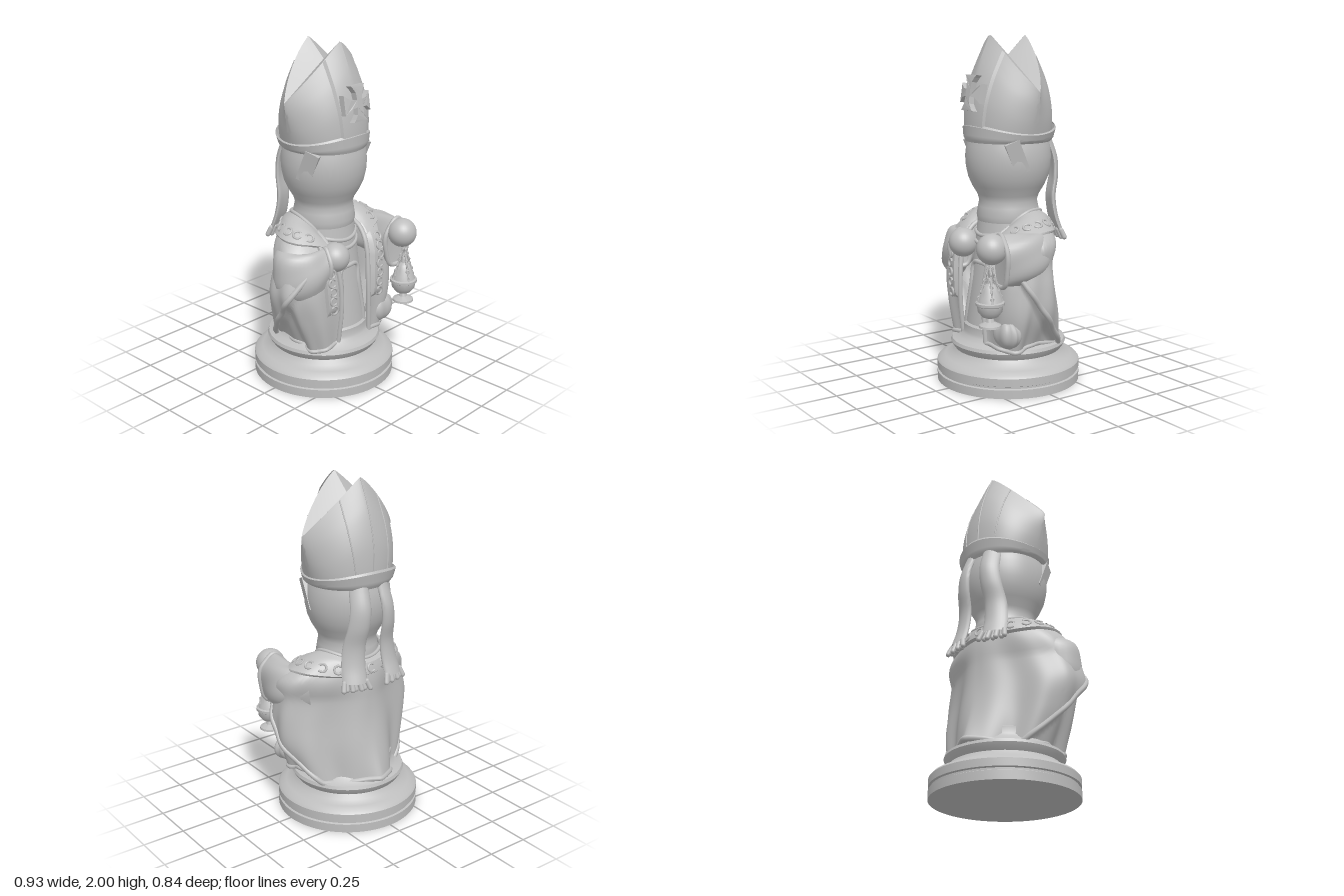
import * as THREE from 'three';
import { mergeVertices, toCreasedNormals } from 'three/addons/utils/BufferGeometryUtils.js';

const stone = new THREE.MeshStandardMaterial({ color: 0xbebebe, side: THREE.DoubleSide });
stone.name = 'grey stone';
const V = (x, y, z) => new THREE.Vector3(x, y, z);
const { sin, cos, abs, PI, pow, asin, min, max } = Math;
const clamp01 = x => min(1, max(0, x));

// Smooth curve through keyed values
const keyed = (times, values) => {
  const c = new THREE.CubicInterpolant(times, values, 1, new Float32Array(1));
  return t => c.evaluate(t)[0];
};

// Surface from fn(u, v), both 0..1
function grid(fn, nu, nv, crease = 0.8) {
  const pos = [], idx = [];
  for (let j = 0; j <= nv; j++)
    for (let i = 0; i <= nu; i++) pos.push(...fn(i / nu, j / nv).toArray());
  for (let j = 0; j < nv; j++)
    for (let i = 0; i < nu; i++) {
      const a = j * (nu + 1) + i, b = a + nu + 1;
      idx.push(a, a + 1, b, a + 1, b + 1, b);
    }
  const g = new THREE.BufferGeometry();
  g.setAttribute('position', new THREE.Float32BufferAttribute(pos, 3));
  g.setIndex(idx);
  return toCreasedNormals(mergeVertices(g), crease);
}
const lathe = (pts, n = 64) =>
  toCreasedNormals(new THREE.LatheGeometry(pts.map(p => new THREE.Vector2(...p)), n), 0.6);
const tube = (pts, r, n = 40, closed = false) =>
  new THREE.TubeGeometry(new THREE.CatmullRomCurve3(pts, closed), n, r, 8, closed);
const samples = (n, fn) => Array.from({ length: n + 1 }, (_, i) => fn(i / n));

// Mitre wall: a is the angle (front = PI/2), s runs from brim to rim; the rim closes to a lens
const mitreX = keyed([1.41, 1.55, 1.69, 2], [0.245, 0.282, 0.31, 0.31]);
const mitreZ = keyed([0, 0.25, 0.45, 0.7, 0.85, 1], [0.243, 0.243, 0.232, 0.194, 0.158, 0.117]);
function mitre(a, s, off = 0) {
  const c = cos(a), n = abs(sin(a));
  const y = 1.41 + (0.59 - 0.31 * pow(abs(c), 1.15)) * s;
  return V((mitreX(y) + off) * c, y, (mitreZ(s) + off) * pow(n, 1 + s * s) * (sin(a) < 0 ? -1 : 1));
}

// Cope surface: u runs -1..1 round the back from edge to edge, t from neck to hem
const T = [0, 0.095, 0.2, 0.38, 0.54, 0.74, 1];
const wideRight = keyed(T, [0.19, 0.3, 0.38, 0.43, 0.455, 0.41, 0.32]);
const wideLeft = keyed(T, [0.19, 0.31, 0.42, 0.43, 0.445, 0.44, 0.36]);
const deepBack = keyed(T, [0.18, 0.2, 0.21, 0.21, 0.22, 0.25, 0.305]);
const deepFront = keyed(T, [0.15, 0.17, 0.2, 0.22, 0.235, 0.24, 0.23]);
const edgeX = keyed(T, [0.15, 0.15, 0.14, 0.13, 0.12, 0.12, 0.13]);
function cope(u, t, off = 0) {
  const rx = u < 0 ? wideRight(t) : wideLeft(t);
  const a = u * (PI - asin(edgeX(t) / rx)), c = cos(a), m = max(0, t), side = sin(a) ** 2;
  const fold = off + 0.018 * m * sin(u * 17 + 2 * m) + 0.008 * m * cos(abs(u) * 34 - 5 * m);
  const rz = c > 0 ? deepBack(t) : deepFront(t);
  // neckline is highest at the shoulders, lower at the back and front
  const dip = 0.1 * pow(abs(u), 5) + 0.05 * max(0, c) ** 2;
  return V((rx + fold) * sin(a), 1.03 - 0.77 * t - dip * (1 - m) ** 3 + 0.012 * m * cos(u * 13),
    -(rz + fold) * c + 0.085 * 1.3 * side / (side + 0.3) * min(1, m * 3));
}
// Mantle hem slants up towards the wrists; the layer below it is set back
const hem = u => 1 - 0.68 * clamp01((abs(u) - 0.3) / 0.5);
const lining = (u, t) =>
  cope(u, t, -0.04 * clamp01((t - hem(u) + 0.02) / 0.08) * clamp01((0.86 - abs(u)) / 0.16));

export function createModel() {
  const root = new THREE.Group();
  const add = (name, geo, x = 0, y = 0, z = 0) => {
    const m = new THREE.Mesh(geo, stone);
    m.name = name;
    m.position.set(x, y, z);
    root.add(m);
    return m;
  };

  // Turned base and tunic
  add('base', lathe([[0, 0], [0.418, 0], [0.418, 0.05], [0.407, 0.055], [0.407, 0.066], [0.418, 0.071],
    [0.418, 0.115], [0.405, 0.13], [0.37, 0.145], [0.33, 0.162], [0.312, 0.19], [0.328, 0.212], [0.337, 0.23],
    [0.33, 0.248], [0.29, 0.262], [0.27, 0.285], [0.262, 0.3], [0.262, 0.34], [0.25, 0.35], [0, 0.35]], 80));
  const tunicR = keyed([0.33, 0.5, 0.7, 0.96], [0.25, 0.23, 0.205, 0.175]);
  add('tunic', lathe(samples(12, s => [tunicR(0.33 + 0.63 * s), 0.33 + 0.63 * s])));
  const onTunic = (x, y) => V(x, y, pow(tunicR(y) ** 2 - x * x, 0.5));
  const outline = [[-0.125, 0.27], [-0.1, 0.4], [-0.07, 0.58], [-0.06, 0.7], [0, 0.715], [0.07, 0.7],
    [0.075, 0.58], [0.1, 0.4], [0.11, 0.28]];
  add('tunicPanelTrim', tube(outline.map(p => onTunic(...p)), 0.014, 60));
  for (const y of [0.9, 0.85])
    add('tunicYoke', tube(samples(10, s => onTunic(0.3 * s - 0.15, y - 0.03 * sin(PI * s))), 0.012));

  // Neck and head
  add('head', lathe([[0, 0.88], [0.15, 0.89], [0.172, 0.92], [0.182, 0.98], [0.174, 1.03], [0.167, 1.065],
    [0.178, 1.1], [0.208, 1.15], [0.23, 1.2], [0.243, 1.26], [0.247, 1.32], [0.24, 1.38], [0.225, 1.44], [0, 1.44]]));

  // Mitre: wall, folded top, band, front panel, ridges
  add('mitre', grid((u, v) => mitre(u * 2 * PI, v), 96, 24));
  add('mitreFold', grid((u, v) => {
    const a = u * PI * 0.9999, w = v * 2 - 1;
    const rim = mitre(w < 0 ? -a : a, 1);
    return V(rim.x, 1.69 + 0.2 * (1 - abs(rim.x) / 0.31), 0).lerp(rim, abs(w));
  }, 48, 10));
  add('mitreUnderside', new THREE.CircleGeometry(0.245, 48).rotateX(PI / 2), 0, 1.412);
  add('mitreBand', grid((u, v) => {
    const a = u * 2 * PI;
    const p = mitre(a, 0, 0.01 * min(1, 4 * v, 8 * (1 - v)) + 0.022 * v * (1 - 0.8 * max(0, sin(a))));
    p.y = 1.405 + v * (0.055 + 0.05 * sin(a) ** 2);
    return p;
  }, 96, 8, 0.5));
  add('mitreFrontPanel', grid((u, v) =>
    mitre(PI / 2 + (u - 0.5) * 0.76, 0.05 + 0.95 * v, u > 0.01 && u < 0.99 ? 0.01 : 0), 16, 20, 0.4));
  for (const a of [-PI / 2, -PI / 2 - 0.42, -PI / 2 + 0.42])
    add('mitreBackSeam', tube(samples(12, s => mitre(a, 0.1 + 0.89 * s)), 0.004));

  // Flared cross, bent round the mitre
  const cross = new THREE.Shape();
  const arm = [[0.02, -0.02], [0.06, -0.025], [0.085, -0.042], [0.1, -0.055], [0.1, 0.055], [0.085, 0.042], [0.06, 0.025]];
  for (let i = 0; i < 4; i++)
    arm.forEach(([x, y], j) => {
      const p = new THREE.Vector2(x, y).rotateAround(new THREE.Vector2(), i * PI / 2);
      i + j ? cross.lineTo(p.x, p.y) : cross.moveTo(p.x, p.y);
    });
  const crossGeo = new THREE.ExtrudeGeometry(cross, { depth: 0.035, bevelEnabled: false });
  const cp = crossGeo.attributes.position;
  for (let i = 0; i < cp.count; i++) cp.setZ(i, cp.getZ(i) - 2.2 * cp.getX(i) ** 2);
  crossGeo.computeVertexNormals();
  add('mitreCross', crossGeo, 0, 1.68, 0.238).rotation.x = -0.16;

  // Cope: lining, mantle with slanting hem, collar, edge trims
  add('cope', grid((u, v) => lining(u * 2 - 1, v), 110, 36));
  add('mantle', grid((u, v) => {
    const w = (u * 2 - 1) * 0.82;
    return cope(w, v * hem(w), 0.01);
  }, 110, 30));
  add('mantleHem', tube(samples(60, s => cope((s * 2 - 1) * 0.82, hem((s * 2 - 1) * 0.82), 0.008)), 0.016, 160));
  add('copeHem', tube(samples(60, s => lining(s * 2 - 1, 1)), 0.013, 160));
  add('collar', grid((u, v) => cope(u * 2 - 1, 0.15 * v, 0.024 * min(1, 5 * v, 8 * (1 - v)) + 0.004), 80, 14, 0.5));
  add('collarRim', tube(samples(40, s => cope(s * 2 - 1, 0, 0.004)), 0.011, 100));
  const scroll = (u, t, r, flip) => {
    const p = cope(u, t, 0.028), along = cope(u + 0.01, t, 0.028).sub(p), down = cope(u, t + 0.01, 0.028).sub(p);
    const m = add('scrollOrnament', new THREE.TorusGeometry(r, 0.007, 6, 18, 5), p.x, p.y, p.z);
    m.lookAt(p.clone().add(along.cross(down).normalize()));
    m.rotateZ(flip ? 0.6 : 3.7);
  };
  for (let i = 0; i < 15; i++) scroll(-0.85 + i * 0.1214, 0.08, 0.023, i % 2);
  for (const s of [-1, 1]) {
    add('frontBorder', grid((u, v) =>
      cope(s * (0.89 + 0.1 * u), 0.05 + 0.68 * v, 0.022 * min(1, 6 * u, 6 * (1 - u), 16 * (1 - v))), 12, 24, 0.5));
    add('frontEdge', tube(samples(16, k => cope(s, k)), 0.014));
    for (let i = 0; i < 7; i++) scroll(s * 0.94, 0.2 + i * 0.08, 0.024, i % 2);
  }
  // Gathered cloth at the lower front
  const gather = new THREE.SphereGeometry(1, 36, 18);
  const gp = gather.attributes.position;
  for (let i = 0; i < gp.count; i++) {
    const x = gp.getX(i), z = gp.getZ(i), k = 1 + 0.07 * sin(7 * Math.atan2(z, x));
    gp.setXYZ(i, x * k * 0.105, gp.getY(i) * 0.085, z * k * 0.06);
  }
  gather.computeVertexNormals();
  add('gatheredCloth', gather, 0.275, 0.355, 0.2);

  // Hanging sleeves with cuffs, and ball hands
  const sleeve = (name, pts, ws, hs) => {
    const path = new THREE.CatmullRomCurve3(pts), keys = pts.map((_, i) => i / (pts.length - 1));
    const w = keyed(keys, ws), h = keyed(keys, hs);
    const at = (a, s) => {
      const side = V(0, 1, 0).cross(path.getTangent(s)).normalize();
      const k = 1 + 0.04 * sin(5 * a + 6 * s);
      return path.getPoint(s).addScaledVector(side, w(s) * k * cos(a)).add(V(0, h(s) * k * sin(a), 0));
    };
    add(name, grid((u, v) => v === 1 ? path.getPoint(0.97) : at(u * 2 * PI, v / 0.95), 40, 20));
    add(name + 'Cuff', tube(samples(31, s => at(s * 2 * PI * 31 / 32, 1)), 0.014, 64, true));
  };
  sleeve('leftSleeve', [V(0.28, 0.81, -0.06), V(0.355, 0.79, 0.09), V(0.33, 0.785, 0.28)], [0.06, 0.095, 0.09], [0.1, 0.14, 0.145]);
  sleeve('rightSleeve', [V(-0.27, 0.82, -0.03), V(-0.375, 0.73, 0.08), V(-0.31, 0.72, 0.17), V(-0.2, 0.76, 0.2)],
    [0.06, 0.08, 0.075, 0.065], [0.1, 0.15, 0.15, 0.11]);
  const ball = new THREE.SphereGeometry(0.085, 32, 20);
  add('leftHand', ball, 0.32, 0.86, 0.33);
  add('rightHand', ball, -0.14, 0.81, 0.22);

  // Hanging censer
  add('censer', lathe([[0, 0.43], [0.062, 0.43], [0.06, 0.442], [0.025, 0.46], [0.018, 0.48], [0.045, 0.49],
    [0.068, 0.52], [0.072, 0.55], [0.08, 0.555], [0.08, 0.57], [0.068, 0.575], [0.06, 0.6], [0.045, 0.635],
    [0.034, 0.66], [0.016, 0.675], [0.01, 0.7], [0, 0.705]], 32), 0.325, 0, 0.345);
  for (let i = 0; i < 4; i++) {
    const a = i * PI / 2 + 0.4, foot = V(0.325 + 0.07 * cos(a), 0.565, 0.345 + 0.07 * sin(a));
    const top = V(0.325, 0.79, 0.345);
    add('censerChain', tube([foot, foot.clone().lerp(top, 0.5), top], 0.006));
    for (let j = 1; j < 7; j++)
      add('chainLink', new THREE.TorusGeometry(0.009, 0.004, 6, 10), ...foot.clone().lerp(top, j / 7).toArray()).rotation.y = j * 1.2;
  }

  // Back lappets with fringes, and flat side tabs
  const lapZ = keyed([0.88, 0.97, 1.08, 1.2, 1.3, 1.43], [-0.258, -0.23, -0.222, -0.25, -0.252, -0.21]);
  for (const s of [-1, 1]) {
    const lapX = y => s * (0.135 - 0.1 * (y - 0.88));
    add('lappet', grid((u, v) => {
      const y = 1.43 - 0.55 * v, a = u * 2 * PI, w = 0.05 + 0.02 * v;
      return V(lapX(y) + w * cos(a), y, lapZ(y) - 0.022 * sin(a) + 0.022 * cos(a) * s + 0.008 * cos(2 * a));
    }, 24, 24));
    for (let i = 0; i < 7; i++)
      add('fringe', new THREE.CapsuleGeometry(0.015, 0.045, 4, 8),
        lapX(0.88) + (i - 3) * 0.023, 0.865, -0.264 + 0.012 * (i % 2) + 0.007 * s * (i - 3))
        .rotation.set(0.35, 0, (i - 3) * 0.1);
    add('sideTab', new THREE.BoxGeometry(0.03, 0.19, 0.085), s * 0.217, 1.33, 0.088).rotation.set(0.42, -s * 0.38, 0);
  }
  return root;
}
